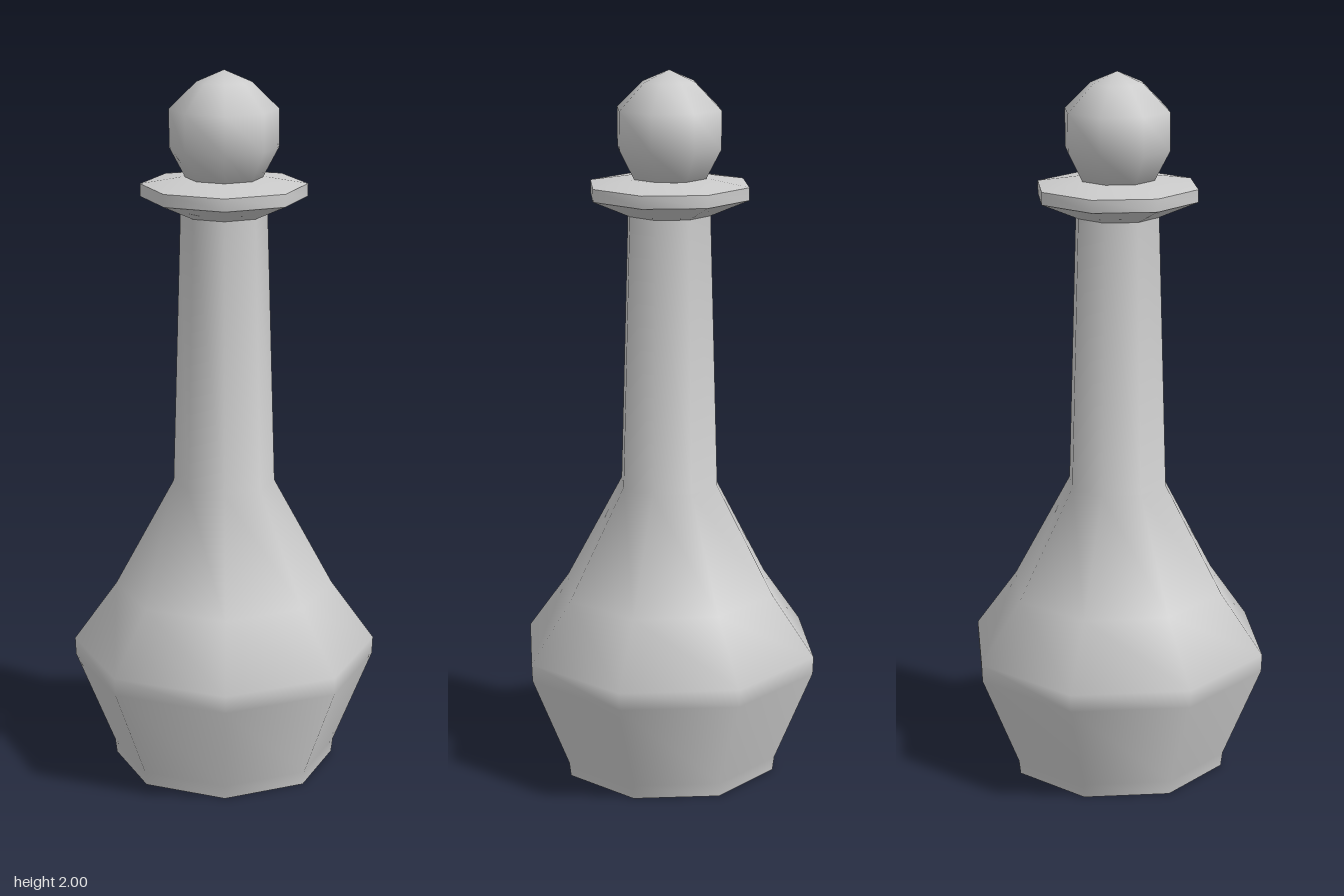
import * as THREE from 'three';
import { toCreasedNormals } from 'three/addons/utils/BufferGeometryUtils.js';

const SIDES = 8;
const material = new THREE.MeshStandardMaterial({ color: 0xcccccc });

// Eight-sided turned part from a profile of [radius, height], listed bottom to top
function turned(name, profile, crease) {
  const points = profile.map(([r, y]) => new THREE.Vector2(r, y));
  const geometry = toCreasedNormals(new THREE.LatheGeometry(points, SIDES), crease);
  const mesh = new THREE.Mesh(geometry, material);
  mesh.name = name;
  return mesh;
}

export function createModel() {
  const group = new THREE.Group();
  group.name = 'bottle';

  // Flared body narrowing into a long tapered neck
  group.add(turned('body', [
    [0, 0], [0.315, 0], [0.32, 0.04], [0.43, 0.31], [0.432, 0.36],
    [0.31, 0.53], [0.143, 0.84], [0.12, 1.61], [0, 1.61],
  ], 1.0));

  // Flat collar with a bevelled underside
  group.add(turned('collar', [
    [0, 1.605], [0.115, 1.605], [0.23, 1.655], [0.23, 1.69], [0.12, 1.708], [0, 1.708],
  ], 0.85));

  // Faceted ball stopper
  group.add(turned('stopper', [
    [0, 1.7], [0.105, 1.705], [0.15, 1.79], [0.15, 1.895], [0.075, 1.968], [0, 2],
  ], 1.1));

  return group;
}
